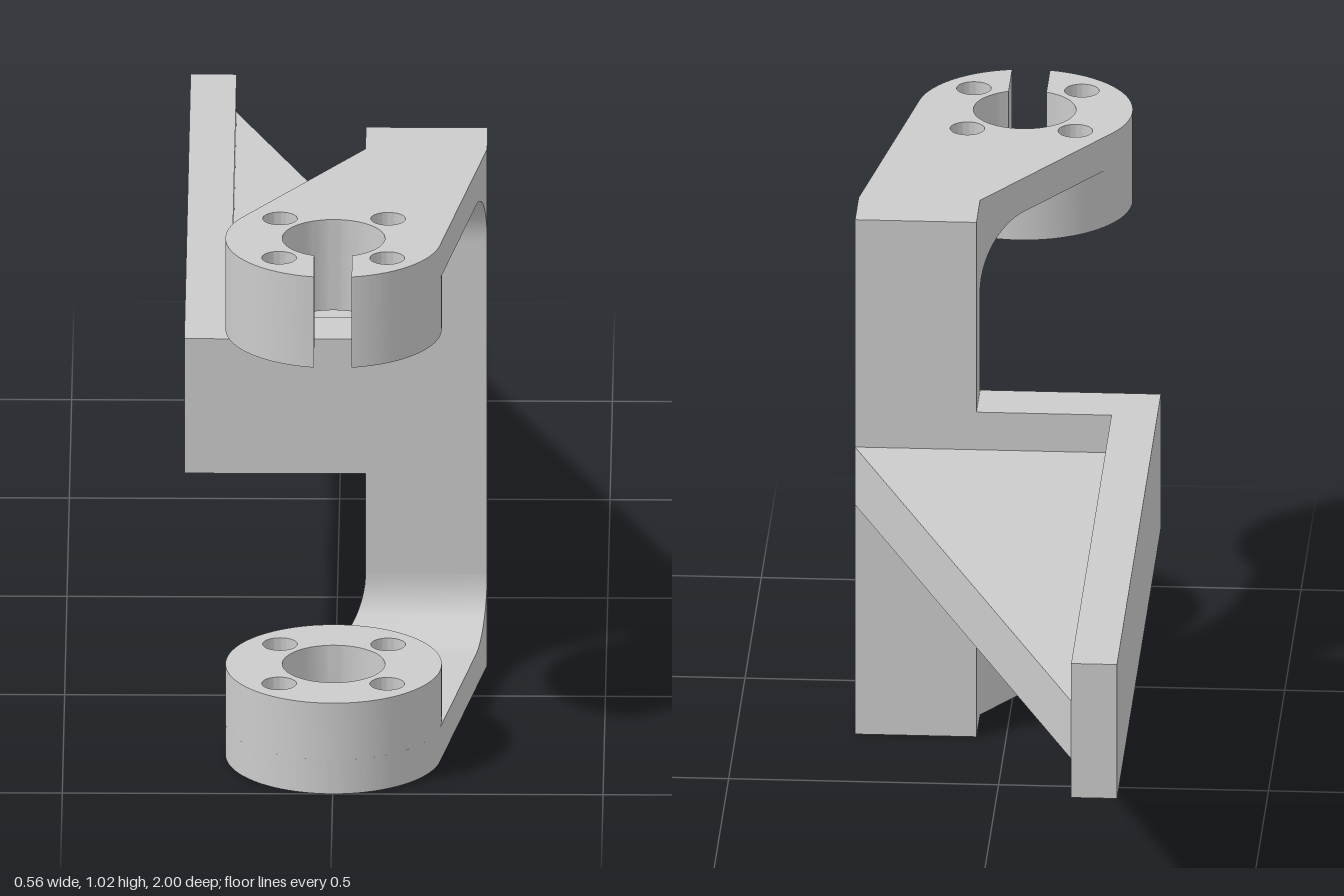
import * as THREE from 'three';
import { toCreasedNormals } from 'three/addons/utils/BufferGeometryUtils.js';

const H = 1.025;                 // overall height
const T = 0.067;                 // arm thickness
const HUB_H = 0.18, HUB_R = 0.2, BORE_R = 0.095, HUB_Z = 0.8;
const SLOT = 0.035;              // half width of the slot in the upper hub
const WALL = { x0: 0.055, x1: 0.28, z0: 0.235, z1: 0.345 };
const BAR_Y0 = 0.38, BAR_Y1 = 0.647;
const FILLET = 0.115;

const material = new THREE.MeshStandardMaterial({ color: 0xcccccc });

function addMesh(group, name, geometry) {
  const mesh = new THREE.Mesh(toCreasedNormals(geometry, 0.5), material);
  mesh.name = name;
  group.add(mesh);
}

// Extrude a plan drawn in (x, z) between two heights
function extrudePlan(shape, y0, y1) {
  const g = new THREE.ExtrudeGeometry(shape, { depth: y1 - y0, bevelEnabled: false, curveSegments: 32 });
  return g.rotateX(Math.PI / 2).translate(0, y1, 0);
}

const polygon = (pts) => new THREE.Shape(pts.map(([x, z]) => new THREE.Vector2(x, z)));

function arc(r, a0, a1, n = 64) {
  return Array.from({ length: n + 1 }, (_, i) => {
    const a = a0 + ((a1 - a0) * i) / n;
    return [r * Math.cos(a), HUB_Z + r * Math.sin(a)];
  });
}

// Angle on the hub where the line from (x, z) touches it
function tangentAngle(x, z, side) {
  return Math.atan2(z - HUB_Z, x) + side * Math.acos(HUB_R / Math.hypot(x, z - HUB_Z));
}
const rightTangent = tangentAngle(WALL.x1, WALL.z1, 1);
const leftTangent = tangentAngle(WALL.x0, WALL.z1, -1) + 2 * Math.PI;

// Plan of a hub, optionally with its arm and with the front slot
function hubPlan(withArm, slotted) {
  const q = Math.PI / 2;
  const a = slotted ? Math.asin(SLOT / HUB_R) : 0;
  const pts = withArm
    ? [
      ...arc(HUB_R, q + a, leftTangent),
      [WALL.x0, WALL.z1], [WALL.x0, WALL.z0], [WALL.x1, WALL.z0], [WALL.x1, WALL.z1],
      ...arc(HUB_R, rightTangent, q - a),
    ]
    : arc(HUB_R, q + a, 5 * q - a, 96);
  if (slotted) {
    const b = Math.asin(SLOT / BORE_R);
    pts.push(...arc(BORE_R, q - b, b - 3 * q));
  } else {
    pts.pop();
  }
  const shape = polygon(pts);
  const hole = (x, z, r) => shape.holes.push(new THREE.Path().absarc(x, z, r, 0, 2 * Math.PI, true));
  if (!slotted) hole(0, HUB_Z, BORE_R);
  for (const sx of [-1, 1]) for (const sz of [-1, 1]) hole(sx * 0.1, HUB_Z + sz * 0.1, 0.032);
  return shape;
}

// Concave fillet between arm and wall, following the slanted arm sides
function filletGeometry(upper) {
  const n = 16, pos = [], idx = [];
  const edgeX = (x, angle, z) => {
    const tx = HUB_R * Math.cos(angle), tz = HUB_Z + HUB_R * Math.sin(angle);
    return x + ((tx - x) * (z - WALL.z1)) / (tz - WALL.z1);
  };
  for (let i = 0; i <= n; i++) {
    const a = (i / n) * Math.PI / 2;
    const z = WALL.z1 + FILLET * (1 - Math.cos(a));
    const y = T + FILLET * (1 - Math.sin(a));
    const xl = edgeX(WALL.x0, leftTangent, z), xr = edgeX(WALL.x1, rightTangent, z);
    for (const [px, py] of [[xl, T], [xl, y], [xr, y], [xr, T]]) pos.push(px, upper ? H - py : py, z);
  }
  for (let i = 0; i < n; i++) {
    for (let j = 0; j < 3; j++) {
      const p = i * 4 + j;
      const tris = [[p, p + 4, p + 1], [p + 1, p + 4, p + 5]];
      for (const t of tris) idx.push(...(upper ? t.reverse() : t));
    }
  }
  const g = new THREE.BufferGeometry();
  g.setAttribute('position', new THREE.Float32BufferAttribute(pos, 3));
  g.setIndex(idx);
  g.computeVertexNormals();
  return g;
}

export function createModel() {
  const model = new THREE.Group();
  model.name = 'hingeBracket';

  // Two arms with drilled hubs; only the upper one is slotted
  for (const upper of [false, true]) {
    const end = new THREE.Group();
    end.name = upper ? 'upperArm' : 'lowerArm';
    const [a0, a1] = upper ? [H - T, H] : [0, T];
    const [h0, h1] = upper ? [H - HUB_H, H - T] : [T, HUB_H];
    addMesh(end, 'armPlate', extrudePlan(hubPlan(true, upper), a0, a1));
    addMesh(end, 'hub', extrudePlan(hubPlan(false, upper), h0, h1));
    addMesh(end, 'fillet', filletGeometry(upper));
    model.add(end);
  }

  // Upright wall joining the arms
  const wall = new THREE.BoxGeometry(WALL.x1 - WALL.x0, H - 2 * T, WALL.z1 - WALL.z0);
  wall.translate((WALL.x0 + WALL.x1) / 2, H / 2, (WALL.z0 + WALL.z1) / 2);
  addMesh(model, 'uprightWall', wall);

  // L-shaped crossbar and rear bar
  addMesh(model, 'rearBar', extrudePlan(polygon([
    [-0.28, -1], [-0.195, -1], [-0.195, WALL.z0], [WALL.x0, WALL.z0], [WALL.x0, WALL.z1], [-0.28, WALL.z1],
  ]), BAR_Y0, BAR_Y1));

  // Triangular web bracing the rear bar
  addMesh(model, 'gussetWeb', extrudePlan(polygon([
    [-0.195, -1], [WALL.x1, WALL.z0], [-0.195, WALL.z0],
  ]), 0.457, 0.572));

  return model;
}
